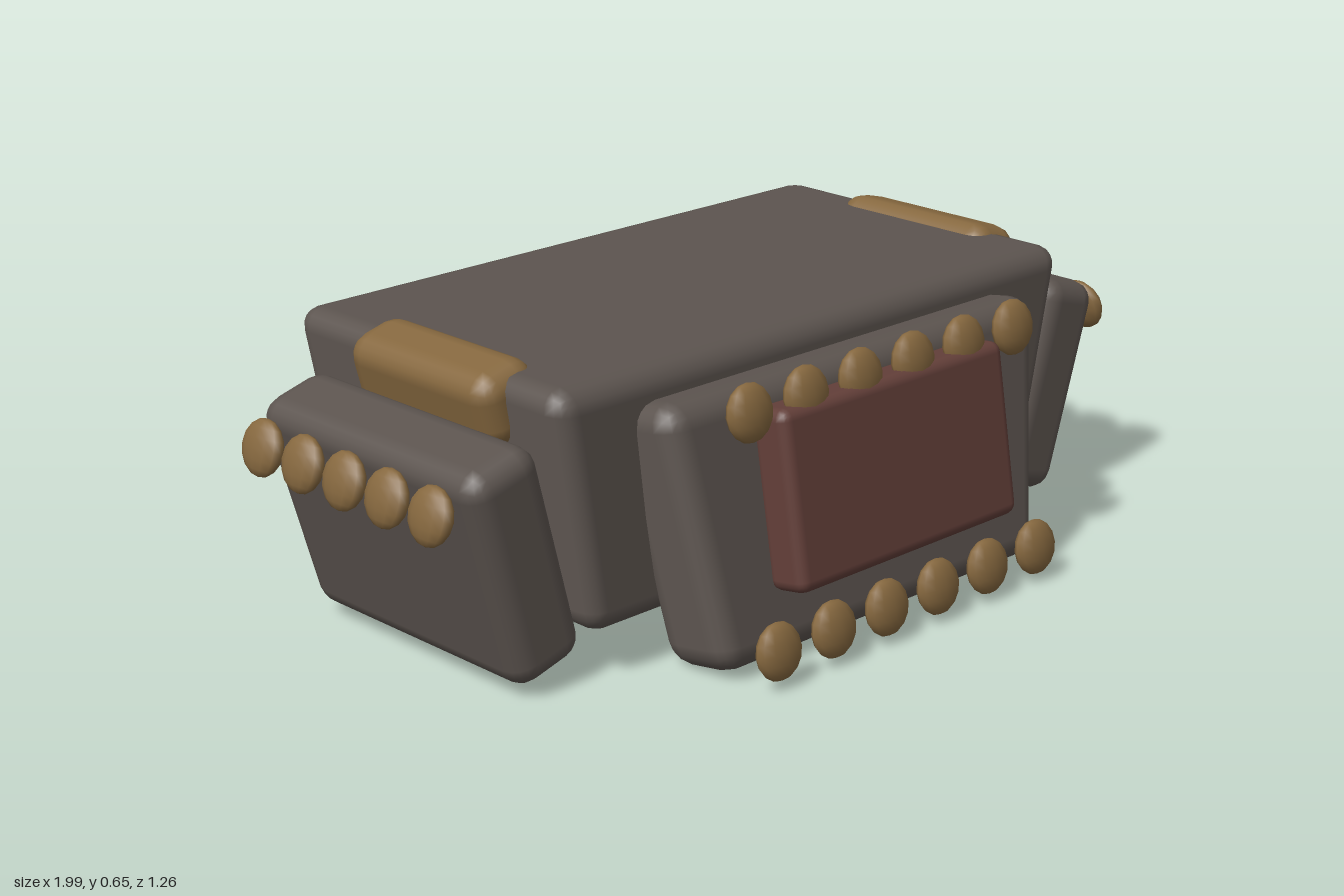
import * as THREE from 'three';
import { RoundedBoxGeometry } from 'three/addons/geometries/RoundedBoxGeometry.js';

const mat = (name, color) => {
  const m = new THREE.MeshStandardMaterial({ color });
  m.name = name;
  return m;
};

// Bevelled box whose width (x) and depth (z) shrink towards the bottom
function taperedBox(w, h, d, r, bottomX = 1, bottomZ = 1) {
  const g = new RoundedBoxGeometry(w, h, d, 2, r);
  const p = g.attributes.position;
  for (let i = 0; i < p.count; i++) {
    const t = 0.5 - p.getY(i) / h;
    p.setX(i, p.getX(i) * (1 + (bottomX - 1) * t));
    p.setZ(i, p.getZ(i) * (1 + (bottomZ - 1) * t));
  }
  return g;
}

export function createModel() {
  const model = new THREE.Group();
  model.name = 'armourWaist';
  const grey = mat('dark grey plate', 0x5c544f);
  const maroon = mat('maroon panel', 0x633f39);
  const brass = mat('aged brass', 0x86683f);

  const add = (name, geometry, material, x, y, z, rx = 0, rz = 0) => {
    const m = new THREE.Mesh(geometry, material);
    m.name = name;
    m.position.set(x, y, z);
    m.rotation.set(rx, 0, rz);
    model.add(m);
    return m;
  };

  // Main block
  add('body', taperedBox(1.5, 0.525, 0.83, 0.05, 0.87, 0.97), grey, 0, 0.3675, -0.045);

  // Front plate leaning outward at the bottom, with its inset panel
  const lean = -0.165;
  add('frontPlate', taperedBox(1.11, 0.565, 0.19, 0.055, 0.85), grey, 0, 0.288, 0.41, lean);
  add('frontPanel', new RoundedBoxGeometry(0.66, 0.375, 0.1, 2, 0.025), maroon, 0, 0.353, 0.53, lean);

  // Back plate
  add('backPlate', new RoundedBoxGeometry(1.01, 0.45, 0.18, 2, 0.05), grey, 0, 0.328, -0.512, 0.155);

  // Flattened studs in two rows on the front
  const frontStud = new THREE.SphereGeometry(0.06, 12, 8);
  frontStud.scale(1, 1, 0.43);
  for (const [y, z] of [[0.552, 0.519], [0.079, 0.603]])
    for (let i = 0; i < 6; i++) add('frontStud', frontStud, brass, -0.392 + i * 0.157, y, z, lean);

  // Side plates, side studs and shoulder pads, mirrored
  const sidePlate = taperedBox(0.18, 0.49, 0.685, 0.05, 1, 0.96);
  const pad = new RoundedBoxGeometry(0.15, 0.16, 0.44, 2, 0.05);
  const sideStud = new THREE.SphereGeometry(0.06, 12, 8);
  sideStud.scale(0.43, 1, 1);
  for (const s of [1, -1]) {
    const side = s > 0 ? 'left' : 'right';
    add(side + 'Plate', sidePlate, grey, s * 0.785, 0.278, -0.008, 0, -s * 0.27);
    add(side + 'Pad', pad, brass, s * 0.71, 0.564, -0.01, 0, -s * 0.26);
    for (let i = 0; i < 5; i++)
      add(side + 'Stud', sideStud, brass, s * 0.967, 0.422, -0.273 + i * 0.1315, 0, s * 0.27);
  }
  // Studs sit tilted along with the lower lean of their plates
  model.traverse((o) => {
    if (o.name === 'leftStud' || o.name === 'rightStud') o.rotation.z *= 1;
  });
  return model;
}
